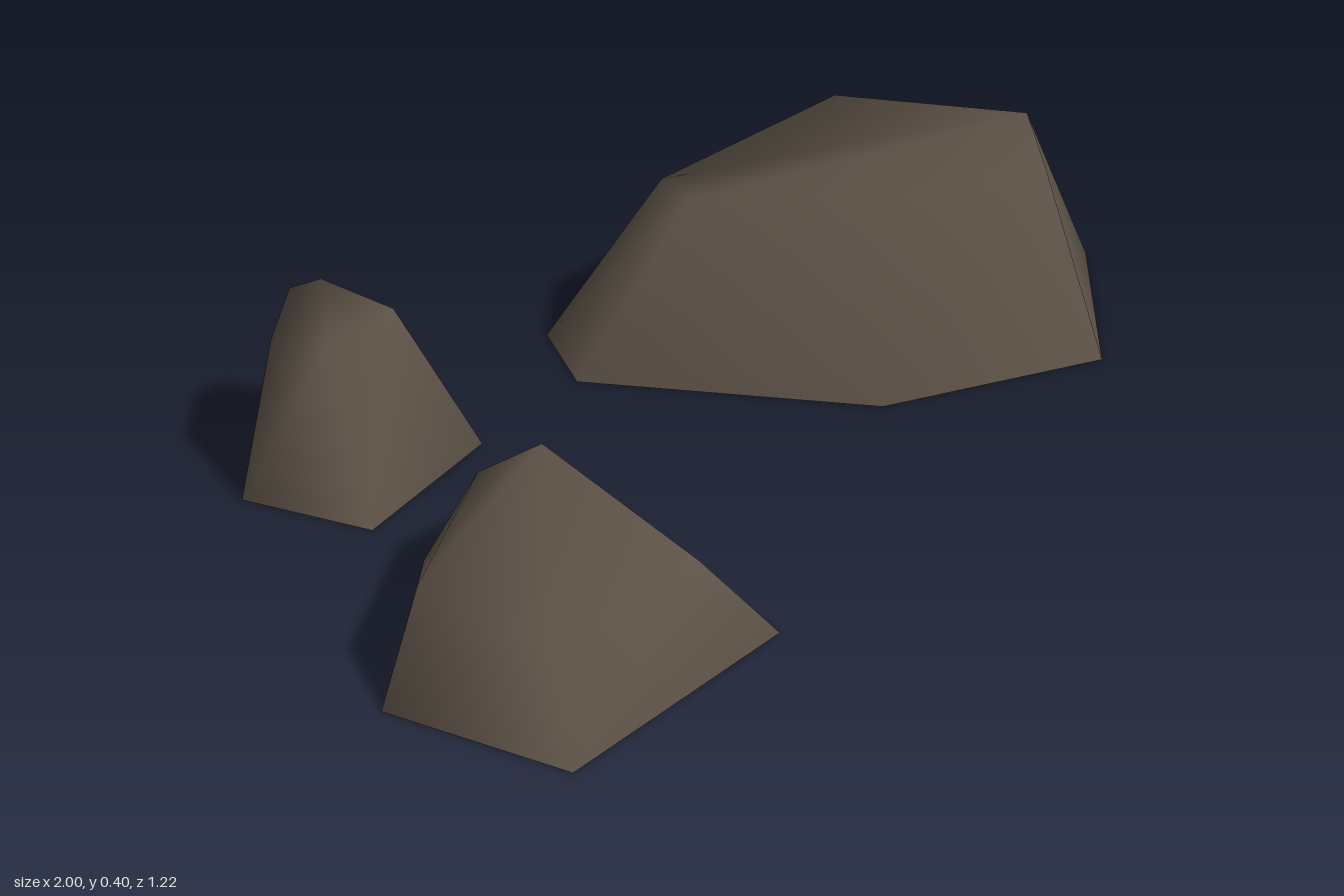
import * as THREE from 'three';

// The rocks are hollow shells without an underside
const stone = new THREE.MeshStandardMaterial({ color: 0x5c5146, side: THREE.DoubleSide });
stone.name = 'brownStone';

// Each rock: ground ring [x, z] and top ring [x, y, z], both counterclockwise from above
const rocks = {
  largeRock: {
    base: [[-0.13, -0.33], [0.27, 0.12], [0.72, 0.27], [1, -0.05], [0.73, -0.58], [-0.07, -0.51]],
    top: [[0.1, 0.355, -0.26], [0.35, 0.39, 0.03], [0.67, 0.395, 0.13],
      [0.85, 0.36, -0.1], [0.65, 0.325, -0.46], [0.135, 0.335, -0.39]],
  },
  frontRock: {
    base: [[-1, 0.28], [-0.85, 0.61], [-0.35, 0.54], [-0.4, -0.01], [-0.7, -0.03]],
    top: [[-0.9, 0.2, 0.26], [-0.82, 0.172, 0.52], [-0.48, 0.18, 0.48],
      [-0.51, 0.225, 0.08], [-0.655, 0.232, 0.09]],
  },
  smallRock: {
    base: [[-0.85, -0.4], [-0.72, -0.165], [-0.4, -0.27], [-0.535, -0.565], [-0.69, -0.61]],
    top: [[-0.75, 0.298, -0.415], [-0.69, 0.298, -0.33], [-0.52, 0.303, -0.36],
      [-0.585, 0.328, -0.5], [-0.65, 0.33, -0.505]],
  },
};

function rockGeometry({ base, top }) {
  const n = base.length;
  const positions = [...base.map(([x, z]) => [x, 0, z]), ...top].flat();
  const index = [];
  // Sloping walls
  for (let i = 0; i < n; i++) {
    const j = (i + 1) % n;
    index.push(i, j, n + j, i, n + j, n + i);
  }
  // Cap, fanned from its back left corner; shared vertices keep the rim soft
  const pivot = 3;
  for (let i = 1; i < n - 1; i++) {
    index.push(n + pivot, n + (pivot + i) % n, n + (pivot + i + 1) % n);
  }
  const geometry = new THREE.BufferGeometry();
  geometry.setAttribute('position', new THREE.Float32BufferAttribute(positions, 3));
  geometry.setIndex(index);
  geometry.computeVertexNormals();
  return geometry;
}

export function createModel() {
  const group = new THREE.Group();
  group.name = 'rocks';
  for (const [name, rings] of Object.entries(rocks)) {
    const mesh = new THREE.Mesh(rockGeometry(rings), stone);
    mesh.name = name;
    group.add(mesh);
  }
  return group;
}
